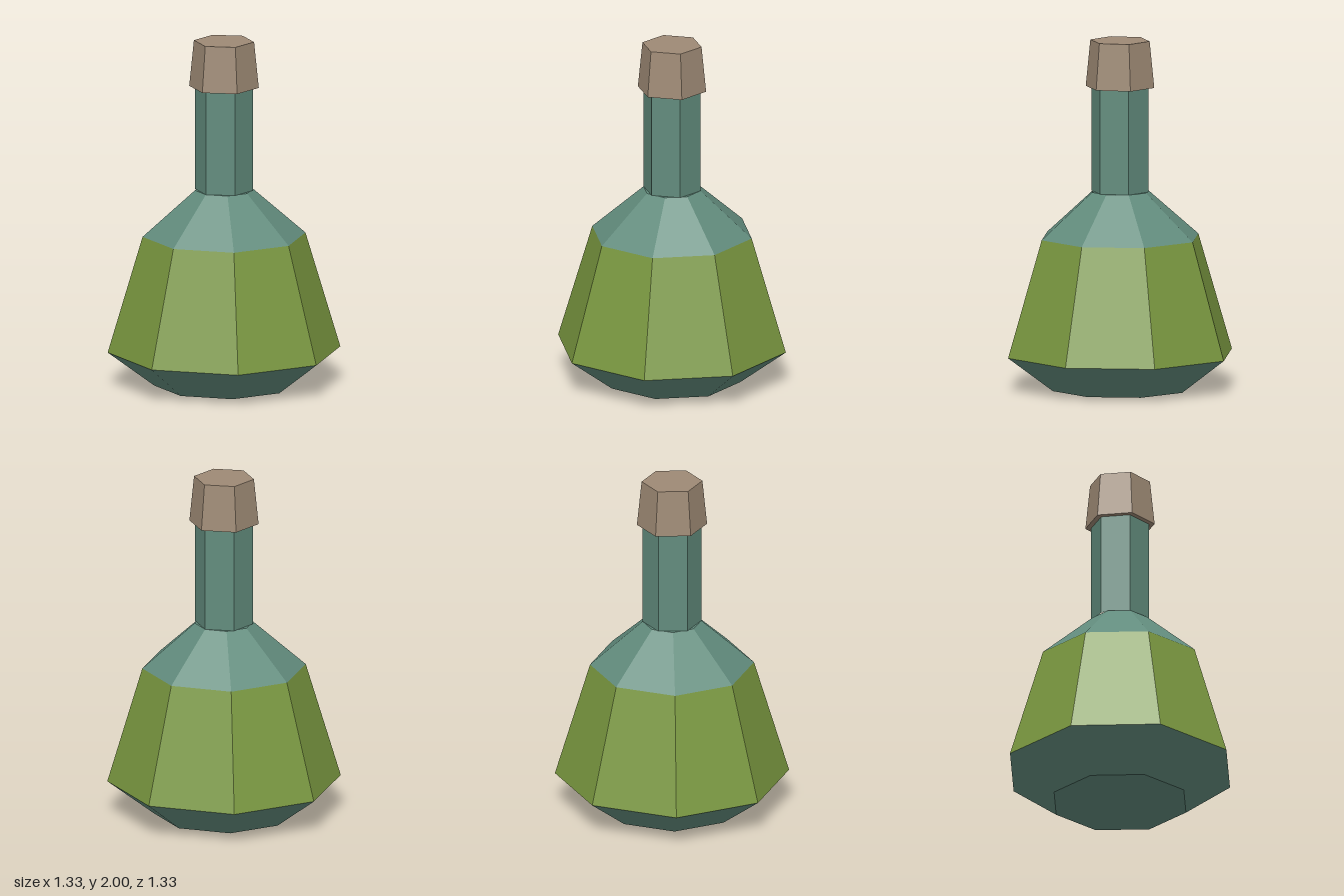
import * as THREE from 'three';

const material = (name, color) => {
  const m = new THREE.MeshStandardMaterial({ color, flatShading: true });
  m.name = name;
  return m;
};

export function createModel() {
  const bottle = new THREE.Group();
  bottle.name = 'bottle';

  const glass = material('blue green glass', 0x628c7d);
  const liquid = material('green liquid', 0x7a9840);
  const cork = material('cork brown', 0x9e8a75);

  // Faceted tapered section between two heights; corners point along z
  const section = (name, mat, sides, y0, y1, r0, r1, open = false) => {
    const geometry = new THREE.CylinderGeometry(r1, r0, y1 - y0, sides, 1, open);
    const mesh = new THREE.Mesh(geometry, mat);
    mesh.name = name;
    mesh.position.y = (y0 + y1) / 2;
    bottle.add(mesh);
    return mesh;
  };

  // Eight-sided body
  section('base', glass, 8, 0, 0.2, 0.4, 0.667);
  section('liquidBand', liquid, 8, 0.2, 0.87, 0.667, 0.467, true);
  section('shoulder', glass, 8, 0.87, 1.133, 0.467, 0.167);

  // Six-sided neck and stopper
  section('neck', glass, 6, 1.133, 1.733, 0.167, 0.167, true);
  section('stopper', cork, 6, 1.733, 2, 0.2, 0.173);

  return bottle;
}
